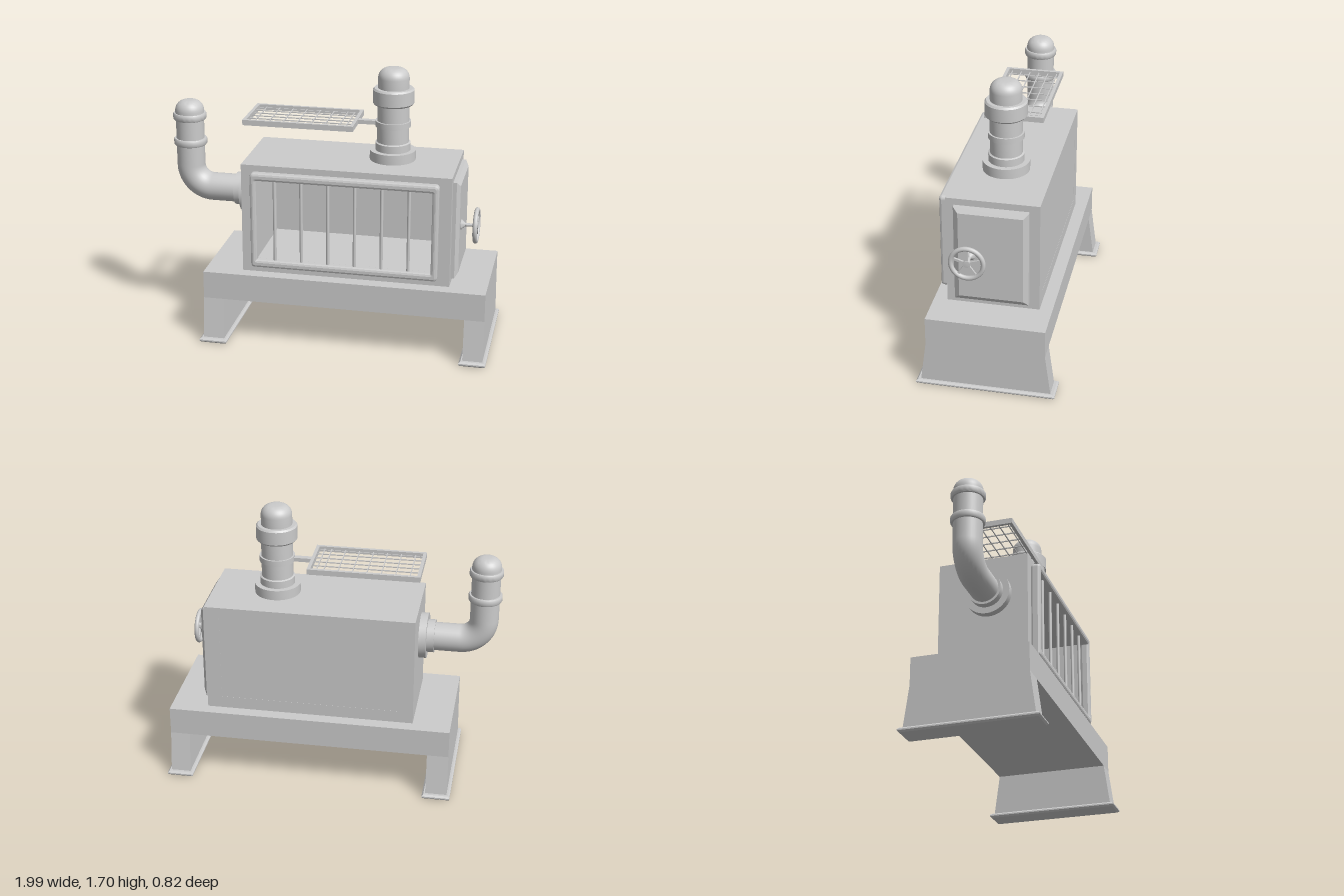
import * as THREE from 'three';
import { toCreasedNormals } from 'three/addons/utils/BufferGeometryUtils.js';

export function createModel() {
  const root = new THREE.Group();
  const mat = new THREE.MeshStandardMaterial({ color: 0xcccccc, side: THREE.DoubleSide });
  const add = (name, geo, x = 0, y = 0, z = 0, parent = root) => {
    const m = new THREE.Mesh(geo, mat);
    m.name = name;
    m.position.set(x, y, z);
    parent.add(m);
    return m;
  };
  // box given by its min and max corners
  const box = (name, x0, x1, y0, y1, z0, z1, parent = root) =>
    add(name, new THREE.BoxGeometry(x1 - x0, y1 - y0, z1 - z0),
      (x0 + x1) / 2, (y0 + y1) / 2, (z0 + z1) / 2, parent);
  const lathe = (pts, seg = 40) => toCreasedNormals(
    new THREE.LatheGeometry(pts.map(p => new THREE.Vector2(p[0], p[1])), seg), 0.6);
  // rectangle with rounded corners
  const roundRect = (T, x0, x1, y0, y1, r) => {
    const s = new T();
    s.moveTo(x0 + r, y0);
    s.lineTo(x1 - r, y0); s.quadraticCurveTo(x1, y0, x1, y0 + r);
    s.lineTo(x1, y1 - r); s.quadraticCurveTo(x1, y1, x1 - r, y1);
    s.lineTo(x0 + r, y1); s.quadraticCurveTo(x0, y1, x0, y1 - r);
    s.lineTo(x0, y0 + r); s.quadraticCurveTo(x0, y0, x0 + r, y0);
    return s;
  };
  const rect = (T, x0, x1, y0, y1) => {
    const s = new T();
    s.moveTo(x0, y0); s.lineTo(x1, y0); s.lineTo(x1, y1); s.lineTo(x0, y1); s.closePath();
    return s;
  };
  // corner arc of a domed cap, from the side (radius R) to the axis
  const dome = (R, top, r, h = r) => {
    const pts = [];
    for (let i = 0; i <= 8; i++) {
      const a = i / 8 * Math.PI / 2;
      pts.push([R - r + r * Math.cos(a), top - h + h * Math.sin(a)]);
    }
    pts.push([0, top]);
    return pts;
  };

  // Stand: table slab, two flared legs, feet
  box('standSlab', -0.75, 0.97, 0.28, 0.45, -0.35, 0.35);
  for (const [x0, x1] of [[-0.75, -0.62], [0.85, 0.97]]) {
    const s = new THREE.Shape();
    s.moveTo(-0.385, 0.02); s.lineTo(0.385, 0.02); s.lineTo(0.35, 0.28); s.lineTo(-0.35, 0.28);
    s.closePath();
    const leg = add('leg', new THREE.ExtrudeGeometry(s, { depth: x1 - x0, bevelEnabled: false }), x0);
    leg.rotation.y = Math.PI / 2;
    const foot = add('foot', new THREE.ExtrudeGeometry(rect(THREE.Shape, x0 - 0.01, x1 + 0.01, -0.4, 0.4),
      { depth: 0.008, bevelSize: 0.01, bevelThickness: 0.01, bevelSegments: 1 }), 0, 0.02, 0);
    foot.rotation.x = Math.PI / 2;
  }

  // Firebox: hollow shell, closed at the back
  const shell = rect(THREE.Shape, -0.52, 0.745, 0.45, 1.13);
  shell.holes.push(rect(THREE.Path, -0.435, 0.655, 0.525, 1.06));
  add('fireboxShell', new THREE.ExtrudeGeometry(shell, { depth: 0.545, bevelEnabled: false }), 0, 0, -0.275);
  box('fireboxBack', -0.44, 0.66, 0.52, 1.065, -0.274, -0.25);

  // Barred window on the front
  const b = 0.015;
  const frame = roundRect(THREE.Shape, -0.457 + b, 0.676 - b, 0.495 + b, 1.095 - b, 0.01);
  frame.holes.push(roundRect(THREE.Path, -0.427 - b / 2, 0.645 + b / 2, 0.535 - b / 2, 1.055 + b / 2, 0.02));
  add('windowFrame', new THREE.ExtrudeGeometry(frame,
    { depth: 0.03, bevelSize: b, bevelThickness: 0.015, bevelSegments: 2 }), 0, 0, 0.28);
  for (let i = 0; i < 6; i++)
    add('windowBar', new THREE.CylinderGeometry(0.01, 0.01, 0.53, 12), -0.31 + i * 0.162, 0.795, 0.295);

  // Bevelled side door
  const door = add('sideDoor', new THREE.ExtrudeGeometry(rect(THREE.Shape, -0.19, 0.185, 0.515, 1.06),
    { depth: 0.022, bevelSize: 0.03, bevelThickness: 0.02, bevelSegments: 1 }), 0.745);
  door.rotation.y = Math.PI / 2;

  // Handwheel, its axis along x
  const wheel = new THREE.Group();
  wheel.name = 'handwheel';
  wheel.position.set(0.787, 0.795, 0.118);
  wheel.rotation.z = -Math.PI / 2;
  root.add(wheel);
  add('wheelStem', lathe([[0.03, -0.01], [0.03, 0.004], [0.01, 0.025], [0.01, 0.075], [0.022, 0.08],
    [0.022, 0.102], [0, 0.104]], 20), 0, 0, 0, wheel);
  add('wheelRim', new THREE.TorusGeometry(0.095, 0.014, 12, 40), 0, 0.092, 0, wheel).rotation.x = Math.PI / 2;
  for (let i = 0; i < 5; i++) {
    const pivot = new THREE.Group();
    pivot.name = 'wheelSpoke';
    pivot.rotation.y = Math.PI + i * Math.PI * 2 / 5;
    wheel.add(pivot);
    box('spoke', 0.01, 0.09, 0.086, 0.098, -0.007, 0.007, pivot);
  }

  // Chimney on top, with flange, ring, collar and domed cap
  add('chimney', lathe([
    [0.085, 1.13], [0.085, 1.14], [0.138, 1.14], [0.138, 1.2], [0.105, 1.2], [0.105, 1.245], [0.095, 1.25],
    [0.095, 1.345], [0.106, 1.345], [0.106, 1.38], [0.095, 1.38], [0.095, 1.48],
    [0.114, 1.48], [0.123, 1.49], [0.123, 1.57], [0.114, 1.58], [0.093, 1.58],
    ...dome(0.093, 1.7, 0.06)]), 0.35, 0, 0);

  // Wire rack held by the chimney ring
  box('rackArm', 0.13, 0.26, 1.348, 1.372, -0.018, 0.018);
  const rim = rect(THREE.Shape, -0.53, 0.14, -0.178, 0.178);
  rim.holes.push(rect(THREE.Path, -0.51, 0.12, -0.158, 0.158));
  add('rackRim', new THREE.ExtrudeGeometry(rim, { depth: 0.033, bevelEnabled: false }), 0, 1.378, 0)
    .rotation.x = Math.PI / 2;
  const w = 0.003;
  for (let i = 0; i < 14; i++) {
    const x = -0.465 + i * 0.0425;
    if (i % 2 === 0 || i === 13) box('rackWire', x - w, x + w, 1.359, 1.365, -0.16, 0.16);
  }
  for (let i = 0; i < 6; i++) {
    const z = -0.14 + i * 0.056;
    box('rackWire', -0.515, 0.125, 1.359, 1.365, z - w, z + w);
  }

  // Side exhaust: elbow pipe, wall flanges, collared and capped riser
  const pz = 0.035, py = 0.893, px = -0.9, R = 0.14;
  const path = new THREE.CurvePath();
  const v = (x, y) => new THREE.Vector3(x, y, pz);
  path.add(new THREE.LineCurve3(v(-0.53, py), v(px + R, py)));
  const k = R * 0.4477;
  path.add(new THREE.CubicBezierCurve3(v(px + R, py), v(px + k, py), v(px, py + k), v(px, py + R)));
  path.add(new THREE.LineCurve3(v(px, py + R), v(px, 1.34)));
  add('exhaustPipe', new THREE.TubeGeometry(path, 60, 0.086, 32));
  const flange = add('exhaustFlange', lathe([[0, 0], [0.138, 0], [0.138, 0.045], [0.1, 0.045], [0.1, 0.09],
    [0.08, 0.09]]), -0.52, py, pz);
  flange.rotation.z = Math.PI / 2;
  for (const y of [1.16, 1.32])
    add('exhaustCollar', lathe([[0.084, y], [0.096, y], [0.101, y + 0.008], [0.101, y + 0.034],
      [0.096, y + 0.042], [0.084, y + 0.042]]), px, 0, pz);
  add('exhaustCap', lathe([[0.088, 1.34], ...dome(0.088, 1.44, 0.065)]), px, 0, pz);

  return root;
}
